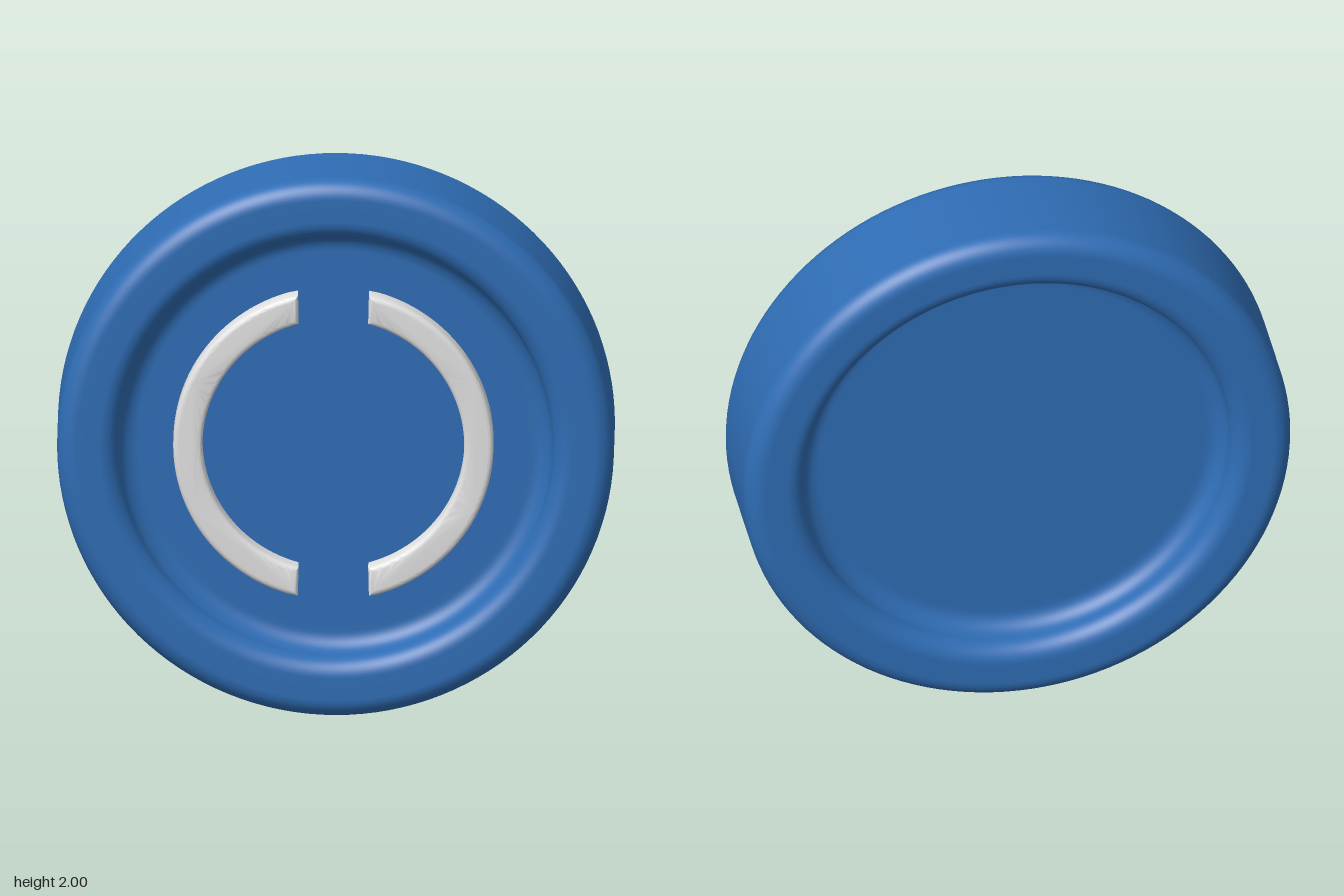
import * as THREE from 'three';
import { toCreasedNormals } from 'three/addons/utils/BufferGeometryUtils.js';

const RIM = 1, HALF = 0.23, ROUND = 0.07, LIP = 0.78, FLOOR = 0.09;

// Quarter arc as profile points (radius, height)
function arc(cx, cy, r, from, to, steps = 10) {
  return Array.from({ length: steps + 1 }, (_, i) => {
    const a = from + (to - from) * i / steps;
    return new THREE.Vector2(cx + r * Math.cos(a), cy + r * Math.sin(a));
  });
}

// Rounded rim with a recessed face on both sides
function discGeometry() {
  const half = [
    ...arc(RIM - ROUND, HALF - ROUND, ROUND, 0, Math.PI / 2),
    ...arc(LIP + ROUND, HALF - ROUND, ROUND, Math.PI / 2, Math.PI),
    ...arc(LIP - ROUND, FLOOR + ROUND, ROUND, 0, -Math.PI / 2).slice(1),
    new THREE.Vector2(LIP - ROUND - 0.02, FLOOR),
    new THREE.Vector2(0, FLOOR),
  ];
  const mirrored = half.map(p => new THREE.Vector2(p.x, -p.y)).reverse();
  return new THREE.LatheGeometry([...mirrored, ...half], 128).rotateX(Math.PI / 2);
}

// Half ring cut by a vertical line at x = gap, with softened edges
function bracketGeometry(inner, outer, gap, top) {
  const bevel = 0.018;
  const ri = inner + bevel, ro = outer - bevel, x = gap + bevel;
  const ao = Math.acos(x / ro), ai = Math.acos(x / ri);
  const shape = new THREE.Shape();
  shape.absarc(0, 0, ro, -ao, ao, false);
  shape.absarc(0, 0, ri, ai, -ai, true);
  shape.closePath();
  const geometry = new THREE.ExtrudeGeometry(shape, {
    depth: top - bevel - FLOOR, curveSegments: 48,
    bevelEnabled: true, bevelSize: bevel, bevelThickness: bevel, bevelSegments: 4,
  });
  return toCreasedNormals(geometry.translate(0, 0, FLOOR), 0.7);
}

export function createModel() {
  const blue = new THREE.MeshStandardMaterial({ color: 0x2f6db5 });
  blue.name = 'blue';
  const lightGrey = new THREE.MeshStandardMaterial({ color: 0xe2e2e2 });
  lightGrey.name = 'light grey';

  const model = new THREE.Group();
  model.name = 'token';

  const disc = new THREE.Mesh(discGeometry(), blue);
  disc.name = 'disc';
  disc.position.y = 1;
  model.add(disc);

  // Two facing half rings on the front
  const bracket = bracketGeometry(0.47, 0.575, 0.125, 0.175);
  for (const [name, turn] of [['leftBracket', 0], ['rightBracket', Math.PI]]) {
    const mesh = new THREE.Mesh(bracket, lightGrey);
    mesh.name = name;
    mesh.position.set(-0.008, 1, 0);
    mesh.rotation.z = turn;
    model.add(mesh);
  }
  return model;
}
